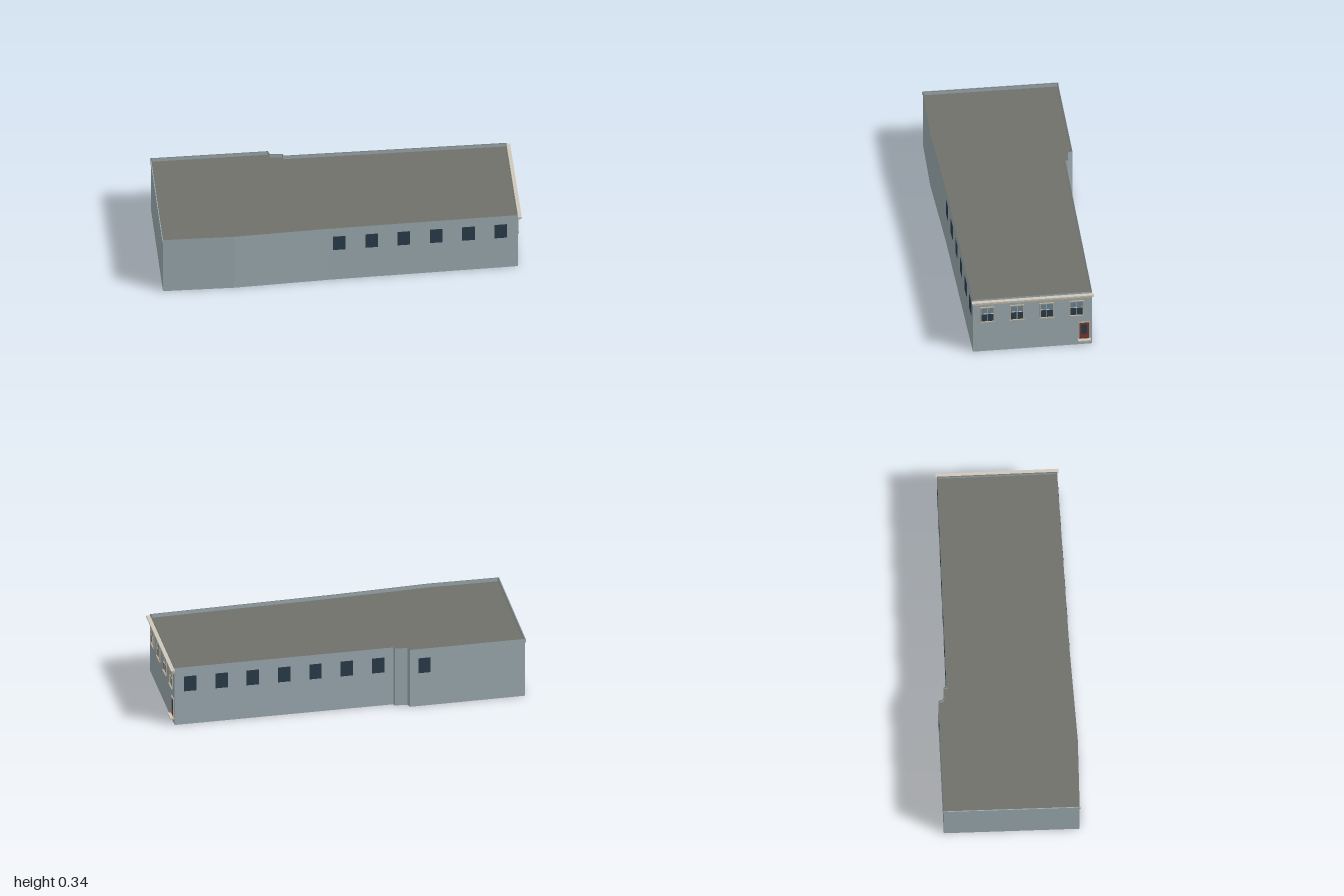
import * as THREE from 'three';

const mat = (color) => new THREE.MeshStandardMaterial({ color, flatShading: true });
const WALL = mat(0xa0afb5), ROOF = mat(0x70716b), GLASS = mat(0x2b3e4c), PANE = mat(0x6f8a9b);
const TRIM = mat(0xb8ad9c), LIGHT = mat(0xcfc8ba), DOOR = mat(0x7a3b30);
const ROOF_Y = 0.32, TOP_Y = 0.34;

// Footprint as [x, z], running left to right along the front, then round the back
const PLAN = [
  [-0.895, 0.475], [-0.52, 0.425], [-0.02, 0.328], [0.975, 0.155], [0.88, -0.475],
  [-0.295, -0.3], [-0.3, -0.315], [-0.368, -0.31], [-0.38, -0.335], [-0.997, -0.24],
];

// Offset the outline inwards with mitred corners
function inset(points, d) {
  const n = points.length;
  const normal = (a, b) => {
    const l = Math.hypot(b[0] - a[0], b[1] - a[1]);
    return [(b[1] - a[1]) / l, -(b[0] - a[0]) / l];
  };
  return points.map((p, i) => {
    const u = normal(points[(i + n - 1) % n], p), v = normal(p, points[(i + 1) % n]);
    const k = d / (1 + u[0] * v[0] + u[1] * v[1]);
    return [p[0] + (u[0] + v[0]) * k, p[1] + (u[1] + v[1]) * k];
  });
}

const toPath = (points) => points.map(([x, z]) => new THREE.Vector2(x, -z));

function slab(name, shape, y0, y1, material) {
  const geo = new THREE.ExtrudeGeometry(shape, { depth: y1 - y0, bevelEnabled: false });
  geo.rotateX(-Math.PI / 2).translate(0, y0, 0);
  const mesh = new THREE.Mesh(geo, material);
  mesh.name = name;
  return mesh;
}

// Box placed in wall coordinates: x along the wall, y up, z outwards
function box(parent, name, material, x, y, w, h, depth, z = 0) {
  const mesh = new THREE.Mesh(new THREE.BoxGeometry(w, h, depth), material);
  mesh.position.set(x, y, z + depth / 2);
  mesh.name = name;
  parent.add(mesh);
  return mesh;
}

// Group whose origin is the wall's left end, seen from outside
function wallGroup(name, i) {
  const a = PLAN[i], b = PLAN[(i + 1) % PLAN.length];
  const g = new THREE.Group();
  g.name = name;
  g.position.set(a[0], 0, a[1]);
  g.rotation.y = Math.atan2(a[1] - b[1], b[0] - a[0]);
  g.userData.length = Math.hypot(b[0] - a[0], b[1] - a[1]);
  return g;
}

const plainWindow = (parent, x) => box(parent, 'plainWindow', GLASS, x, 0.241, 0.067, 0.088, 0.002);

function sashWindow(x) {
  const g = new THREE.Group();
  g.name = 'sashWindow';
  g.position.x = x;
  box(g, 'lowerGlass', GLASS, 0, 0.221, 0.066, 0.05, 0.002);
  box(g, 'upperGlass', PANE, 0, 0.264, 0.066, 0.038, 0.003);
  for (const s of [-1, 1]) box(g, 'jamb', TRIM, s * 0.035, 0.241, 0.005, 0.092, 0.007);
  box(g, 'head', TRIM, 0, 0.286, 0.077, 0.005, 0.008);
  box(g, 'sill', TRIM, 0, 0.193, 0.08, 0.005, 0.01);
  box(g, 'meetingRail', LIGHT, 0, 0.245, 0.066, 0.003, 0.005);
  box(g, 'mullion', LIGHT, 0, 0.241, 0.003, 0.09, 0.005);
  return g;
}

export function createModel() {
  const model = new THREE.Group();
  model.name = 'building';

  // Main block and thin parapet ring
  model.add(slab('mainBlock', new THREE.Shape(toPath(PLAN)), 0, ROOF_Y, [ROOF, WALL]));
  const ring = new THREE.Shape(toPath(PLAN));
  ring.holes.push(new THREE.Path(toPath(inset(PLAN, 0.005))));
  model.add(slab('parapet', ring, ROOF_Y, TOP_Y, [ROOF, WALL]));

  // Front wall windows
  const front = wallGroup('frontWall', 2);
  for (let i = 0; i < 6; i++) plainWindow(front, (0.055 + i * 0.17) * 1.015);

  // Back wall windows, either side of the recess
  const back = wallGroup('backWall', 4);
  for (let i = 0; i < 7; i++) plainWindow(back, back.userData.length * (i + 0.5) / 7);
  const backEnd = wallGroup('backEndWall', 8);
  plainWindow(backEnd, 0.078);

  // Coping on the plain end wall
  const end = wallGroup('endWall', 9);
  box(end, 'endCoping', WALL, end.userData.length / 2, 0.33, end.userData.length + 0.008, 0.02, 0.004);

  // Street facade: sash windows, door and cornice
  const facade = wallGroup('facade', 3);
  const len = facade.userData.length, mid = len / 2;
  for (let i = 0; i < 4; i++) facade.add(sashWindow(0.076 + i * 0.1593));

  box(facade, 'door', DOOR, 0.595, 0.09, 0.052, 0.106, 0.004);
  box(facade, 'doorGlass', GLASS, 0.595, 0.1, 0.028, 0.06, 0.005);
  for (const s of [-1, 1]) box(facade, 'doorJamb', TRIM, 0.595 + s * 0.027, 0.09, 0.003, 0.108, 0.006);
  box(facade, 'doorHead', TRIM, 0.595, 0.144, 0.057, 0.003, 0.006);
  box(facade, 'doorStep', LIGHT, 0.595, 0.034, 0.068, 0.007, 0.022);

  box(facade, 'corniceTop', LIGHT, mid, 0.326, len + 0.016, 0.007, 0.021);
  box(facade, 'corniceMiddle', TRIM, mid, 0.32, len + 0.01, 0.006, 0.016);
  box(facade, 'corniceBase', LIGHT, mid, 0.314, len + 0.004, 0.006, 0.012);
  for (let i = 0; i < 17; i++) {
    const x = 0.025 + i * (len - 0.05) / 16;
    box(facade, 'bracket', TRIM, x, 0.306, 0.009, 0.01, 0.011);
    box(facade, 'bracketFoot', TRIM, x, 0.299, 0.007, 0.006, 0.006);
  }

  model.add(front, back, backEnd, end, facade);
  return model;
}
